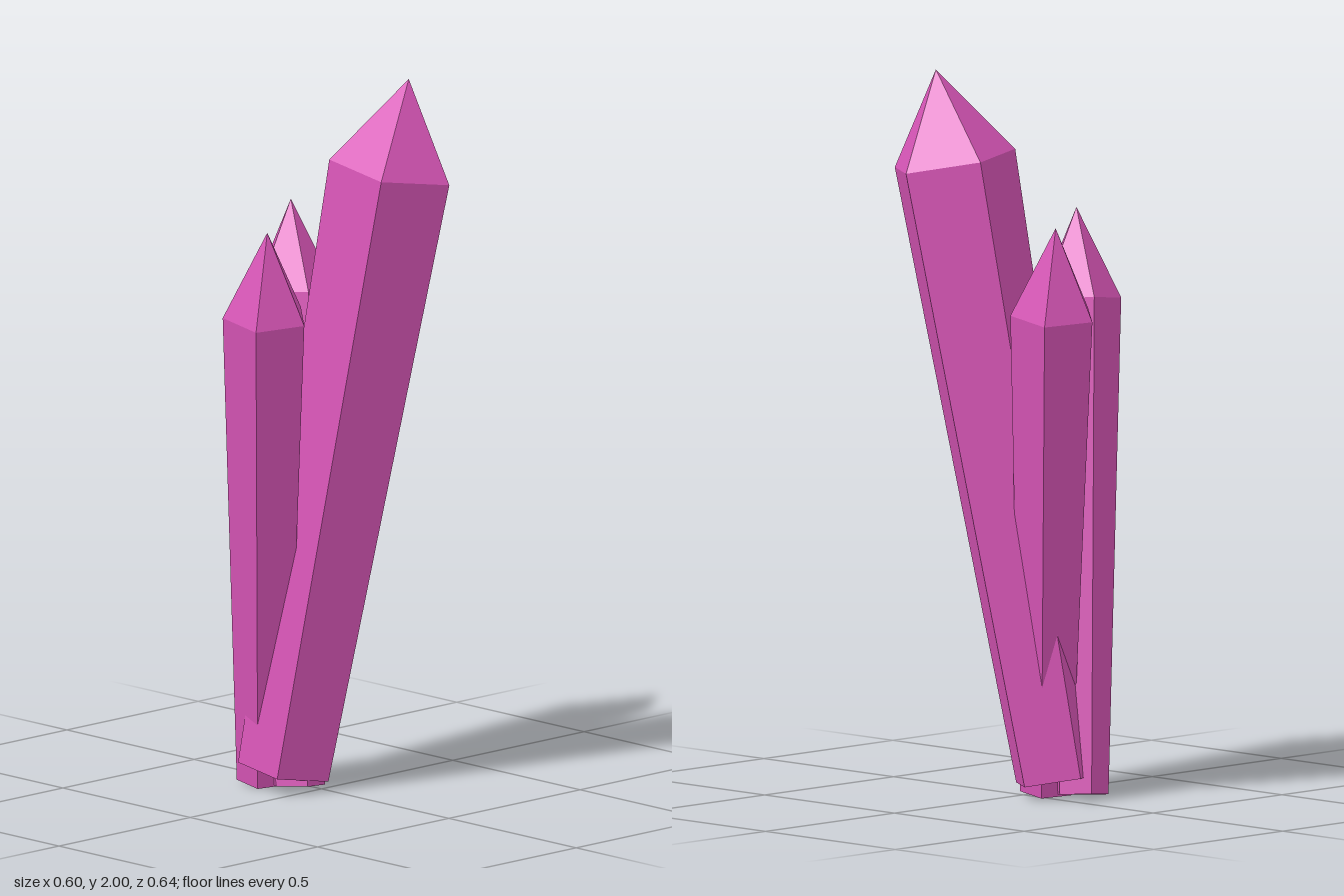
import * as THREE from 'three';

const SIDES = 5;
const material = new THREE.MeshStandardMaterial({ color: 0xd956b8, flatShading: true });

// A five-sided crystal that widens from its base to a shoulder, then closes to a point.
function createCrystal({ name, base, apex, baseRadius, shoulderRadius, tipHeight, turn }) {
  const start = new THREE.Vector3(...base);
  const axis = new THREE.Vector3(...apex).sub(start);
  const length = axis.length();
  const profile = [
    new THREE.Vector2(0, 0),
    new THREE.Vector2(baseRadius, 0),
    new THREE.Vector2(shoulderRadius, length - tipHeight),
    new THREE.Vector2(0, length),
  ];
  const geometry = new THREE.LatheGeometry(profile, SIDES, THREE.MathUtils.degToRad(turn));
  const crystal = new THREE.Mesh(geometry, material);
  crystal.name = name;
  crystal.position.copy(start);
  // lean the crystal along its own axis
  crystal.quaternion.setFromUnitVectors(new THREE.Vector3(0, 1, 0), axis.normalize());
  return crystal;
}

export function createModel() {
  const cluster = new THREE.Group();
  cluster.name = 'crystalCluster';

  const small = { baseRadius: 0.076, shoulderRadius: 0.121, tipHeight: 0.248 };
  const crystals = [
    // tall crystal leaning to the front left
    {
      name: 'tallCrystal', base: [-0.053, 0.052, -0.085], apex: [0.148, 2, 0.19],
      baseRadius: 0.134, shoulderRadius: 0.178, tipHeight: 0.255, turn: 17.5,
    },
    // two short crystals leaning to the right and to the back
    { name: 'rightCrystal', base: [-0.062, 0.012, -0.16], apex: [-0.224, 1.6, 0.018], turn: 13.7, ...small },
    { name: 'backCrystal', base: [-0.048, 0.012, -0.046], apex: [0.111, 1.6, -0.235], turn: 50, ...small },
  ];
  crystals.forEach((spec) => cluster.add(createCrystal(spec)));
  return cluster;
}
